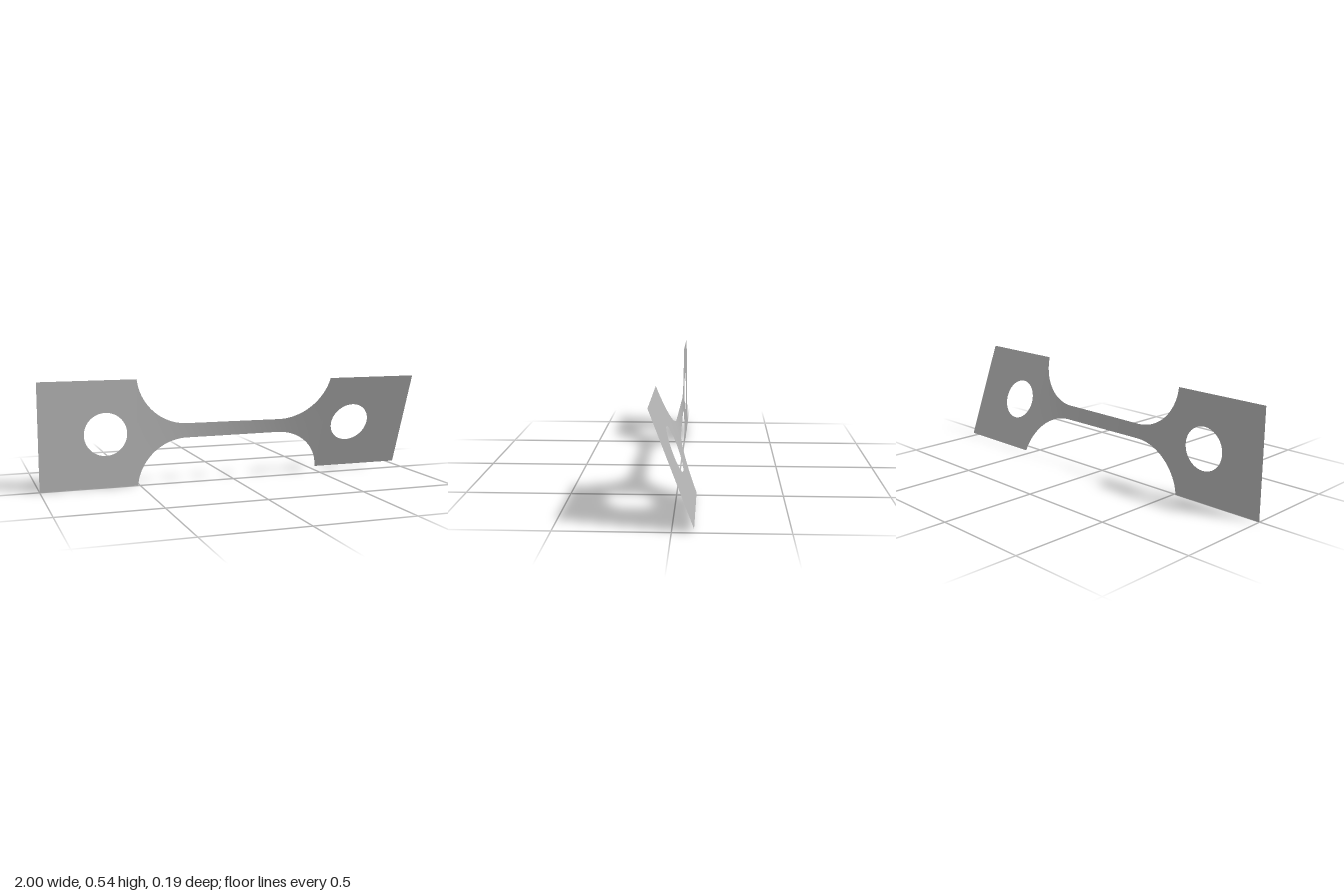
import * as THREE from 'three';

const HALF = 0.27, NECK = 0.0375, R = 0.262, FILLET_X = 0.25, TAB_X = 0.51;
const START = 0.6 * Math.PI / 180, END = 20.4 * Math.PI / 180;

// Half height of the strip: straight neck, then circular fillets into the tabs
function halfHeight(x) {
  const u = Math.max(0, Math.abs(x) - FILLET_X);
  return Math.min(HALF, NECK + R - Math.sqrt(Math.max(0, R * R - u * u)));
}

// Twist angle along x: the narrower the strip, the faster it twists
const STEPS = 400;
const turns = [0];
for (let i = 0; i < STEPS; i++) {
  const x = -TAB_X + (i + 0.5) / STEPS * 2 * TAB_X;
  turns.push(turns[i] + 1 / halfHeight(x));
}
function twist(x) {
  const t = THREE.MathUtils.clamp((x + TAB_X) / (2 * TAB_X), 0, 1) * STEPS;
  const i = Math.min(STEPS - 1, Math.floor(t));
  const turn = turns[i] + (turns[i + 1] - turns[i]) * (t - i);
  return START + (END - START) * turn / turns[STEPS];
}

// Turn every vertex about the long axis by the local twist
function applyTwist(geometry) {
  const p = geometry.attributes.position;
  for (let i = 0; i < p.count; i++) {
    const a = twist(p.getX(i)), y = p.getY(i);
    p.setXYZ(i, p.getX(i), y * Math.cos(a), y * Math.sin(a));
  }
  geometry.computeVertexNormals();
  return geometry;
}

export function createModel() {
  const group = new THREE.Group();
  group.name = 'twistedTestStrip';
  const metal = new THREE.MeshStandardMaterial({ color: 0xb3b3b3, side: THREE.DoubleSide });
  metal.name = 'grey metal';

  function add(name, geometry) {
    const mesh = new THREE.Mesh(applyTwist(geometry), metal);
    mesh.name = name;
    mesh.position.y = HALF;
    group.add(mesh);
  }

  // Square grip tabs with a round hole
  for (const [name, side] of [['leftTab', 1], ['rightTab', -1]]) {
    const a = Math.min(side, side * TAB_X), b = Math.max(side, side * TAB_X);
    const shape = new THREE.Shape();
    shape.moveTo(a, -HALF).lineTo(b, -HALF).lineTo(b, HALF).lineTo(a, HALF).closePath();
    const hole = new THREE.Path();
    hole.absarc(side * 0.67, 0, 0.108, 0, Math.PI * 2, true);
    shape.holes.push(hole);
    add(name, new THREE.ShapeGeometry(shape, 32));
  }

  // Narrow neck with flared ends
  const neck = new THREE.PlaneGeometry(2 * TAB_X, 2, 200, 8);
  const p = neck.attributes.position;
  for (let i = 0; i < p.count; i++) p.setY(i, p.getY(i) * halfHeight(p.getX(i)));
  add('neck', neck);

  return group;
}
